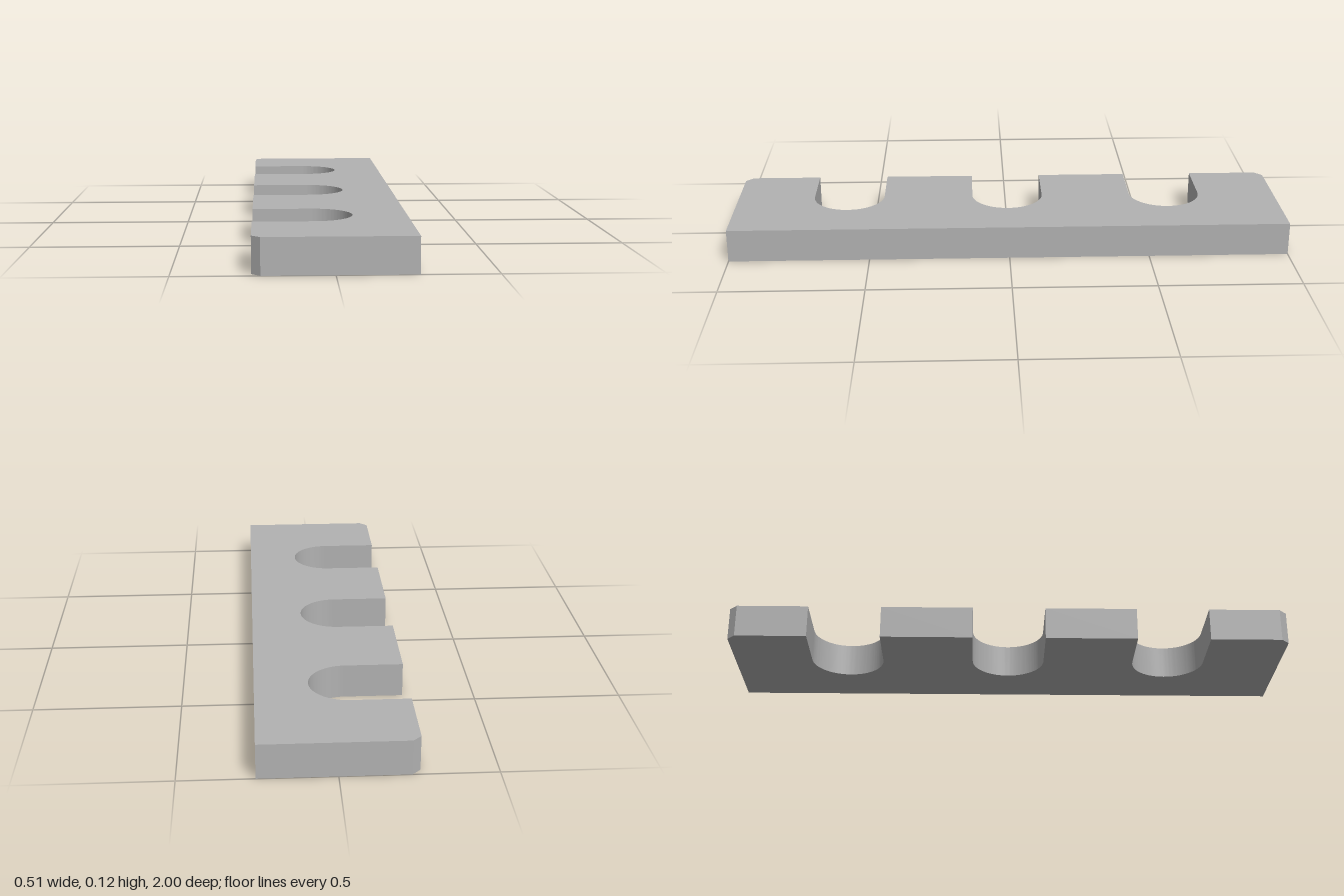
import * as THREE from 'three';
import { toCreasedNormals } from 'three/addons/utils/BufferGeometryUtils.js';

export function createModel() {
  const halfWidth = 0.255, halfLength = 1, thickness = 0.118, chamfer = 0.028;
  const slotRadius = 0.13, slotCentreX = -0.055, slotSpacing = 0.588;

  const grey = new THREE.MeshStandardMaterial({ color: 0xb2b2b2 });
  grey.name = 'plain grey';

  // Plate outline: straight right edge, chamfered left corners
  const outline = new THREE.Shape();
  outline.moveTo(halfWidth, -halfLength);
  outline.lineTo(halfWidth, halfLength);
  outline.lineTo(-halfWidth + chamfer, halfLength);
  outline.lineTo(-halfWidth, halfLength - chamfer);

  // Three round-ended slots open to the left edge
  for (const i of [1, 0, -1]) {
    const c = i * slotSpacing;
    outline.lineTo(-halfWidth, c + slotRadius);
    outline.lineTo(slotCentreX, c + slotRadius);
    outline.absarc(slotCentreX, c, slotRadius, Math.PI / 2, -Math.PI / 2, true);
    outline.lineTo(-halfWidth, c - slotRadius);
  }
  outline.lineTo(-halfWidth, -halfLength + chamfer);
  outline.lineTo(-halfWidth + chamfer, -halfLength);
  outline.closePath();

  // Lay the extrusion flat on the ground
  const extruded = new THREE.ExtrudeGeometry(outline, {
    depth: thickness, bevelEnabled: false, curveSegments: 32,
  });
  extruded.rotateX(-Math.PI / 2);

  const plate = new THREE.Mesh(toCreasedNormals(extruded, Math.PI / 6), grey);
  plate.name = 'slottedPlate';

  const model = new THREE.Group();
  model.name = 'slottedRack';
  model.add(plate);
  return model;
}
